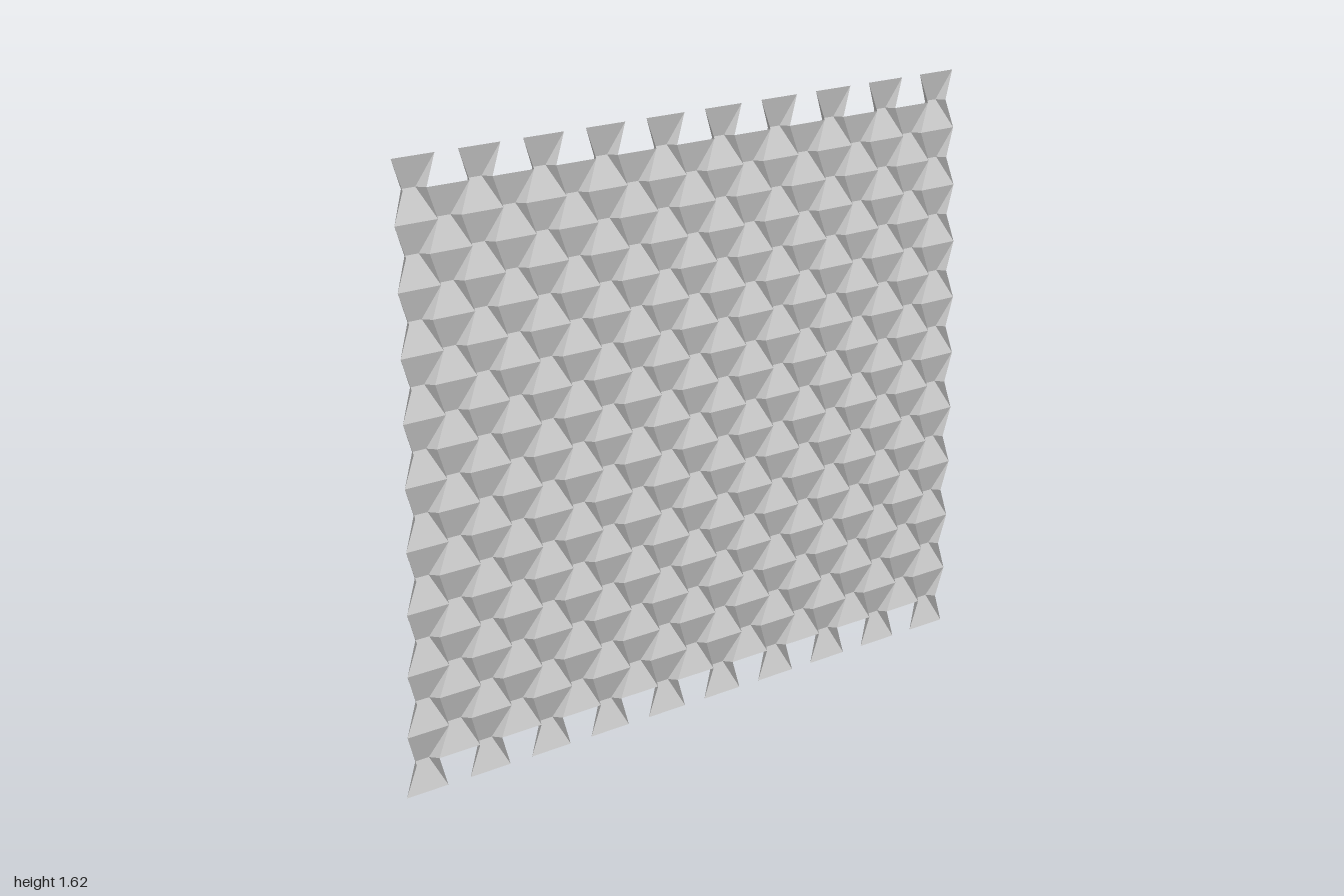
import * as THREE from 'three';

const HEIGHT = 1.625;
const ROWS = 10;
const COLUMNS = 10;
const PITCH = HEIGHT / ROWS;      // height of one folded cell
const WIDE = 0.067;               // half width of the front creases
const STEP = (2 - 2 * WIDE) / (COLUMNS - 1);
const WAIST = STEP / 2 - WIDE;    // half width of the cell outline at its waist
const FOLD = 0.022;               // half width of the sunken crease
const DEPTH = 0.0245;             // how far the sunken crease lies behind the front

// Front of the sheet: a shallow bow over the height
const bow = (y) => 0.0215 - 0.0225 * ((y - HEIGHT / 2) / (HEIGHT / 2)) ** 2;

// One hourglass cell: two sloping trapezoids and four steep flank triangles
function addCell(out, cx, y0) {
  const ym = y0 + PITCH / 2;
  const front = (x, y) => [cx + x, y, bow(y)];
  const back = (x) => [cx + x, ym, bow(ym) - DEPTH];
  const tri = (up, a, b, c) => out.push(...(up ? [a, b, c] : [a, c, b]).flat());
  for (const up of [true, false]) {
    const y = up ? y0 : y0 + PITCH;
    const l = front(-WIDE, y), r = front(WIDE, y);
    const fl = back(-FOLD), fr = back(FOLD);
    tri(up, l, r, fr);
    tri(up, l, fr, fl);
    tri(up, l, fl, front(-WAIST, ym));
    tri(up, r, front(WAIST, ym), fr);
  }
}

// A vertical strip of cells
function foldedColumn(name, x, startY, count, material) {
  const points = [];
  for (let i = 0; i < count; i++) addCell(points, x, startY + i * PITCH);
  const geometry = new THREE.BufferGeometry();
  geometry.setAttribute('position', new THREE.Float32BufferAttribute(points, 3));
  geometry.computeVertexNormals();
  const mesh = new THREE.Mesh(geometry, material);
  mesh.name = name;
  return mesh;
}

export function createModel() {
  const group = new THREE.Group();
  group.name = 'foldedSheet';
  const material = new THREE.MeshStandardMaterial({
    color: 0xcccccc, flatShading: true, side: THREE.DoubleSide,
  });
  for (let i = 0; i < COLUMNS; i++) {
    const x = -1 + WIDE + i * STEP;
    group.add(foldedColumn(`longColumn${i + 1}`, x, 0, ROWS, material));
    // Shorter columns sit between, shifted up by half a cell
    if (i < COLUMNS - 1) {
      group.add(foldedColumn(`shortColumn${i + 1}`, x + STEP / 2, PITCH / 2, ROWS - 1, material));
    }
  }
  return group;
}
